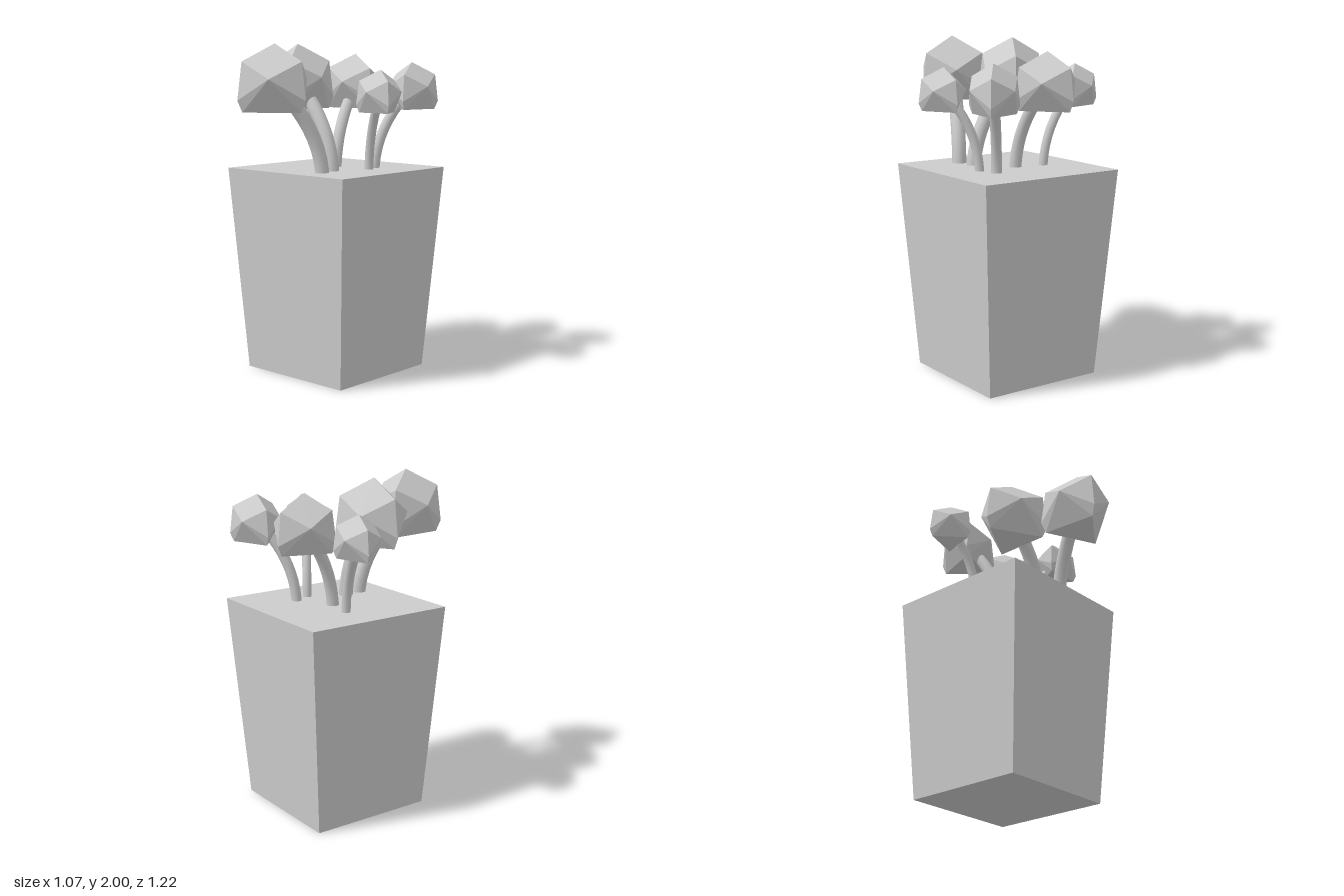
import * as THREE from 'three';
import { ConvexGeometry } from 'three/addons/geometries/ConvexGeometry.js';

const material = new THREE.MeshStandardMaterial({ color: 0xcccccc, flatShading: true });
const stemMaterial = new THREE.MeshStandardMaterial({ color: 0xcccccc, side: THREE.DoubleSide });

// Faceted flower head of unit radius: apex at the origin, hanging down -y.
// Each ring has three corners: [radius, height, angle].
const rings = [
  [0.88, -0.45, Math.PI / 3],
  [0.87, -0.88, 0],
  [1.0, -1.42, Math.PI / 3],
  [0.87, -1.72, Math.PI / 3],
];

function headGeometry() {
  const points = [new THREE.Vector3(0, 0, 0)];
  for (const [r, y, start] of rings) {
    for (let i = 0; i < 3; i++) {
      const a = start + (i * Math.PI * 2) / 3;
      points.push(new THREE.Vector3(r * Math.cos(a), y, r * Math.sin(a)));
    }
  }
  return new ConvexGeometry(points);
}

// Head apex x, y, z, head radius, stem foot x, z, stem radius
const flowers = [
  [0.035, 2.0, 0.405, 0.226, 0.16, 0.14, 0.043],
  [-0.15, 2.0, 0.025, 0.226, 0.135, 0.025, 0.043],
  [-0.075, 1.94, -0.42, 0.195, -0.025, -0.18, 0.036],
  [0.335, 1.89, -0.47, 0.165, 0.19, -0.295, 0.031],
  [0.41, 1.85, -0.085, 0.145, 0.235, -0.19, 0.027],
  [-0.4, 1.85, -0.265, 0.145, -0.205, -0.215, 0.027],
];

function makeFlower([x, y, z, r, footX, footZ, stemR], geometry) {
  const flower = new THREE.Group();
  flower.name = 'flower';

  // Head, one corner turned towards the stem's foot
  const head = new THREE.Mesh(geometry, material);
  head.name = 'flowerHead';
  head.position.set(x, y, z);
  head.scale.setScalar(r);
  head.rotation.y = -Math.atan2(footZ - z, footX - x);

  // Stem rising straight and then bending outwards into the head
  const curve = new THREE.QuadraticBezierCurve3(
    new THREE.Vector3(footX, 1.2, footZ),
    new THREE.Vector3(footX, 1.5, footZ),
    new THREE.Vector3(x, y - r, z)
  );
  const stem = new THREE.Mesh(new THREE.TubeGeometry(curve, 10, stemR, 12), stemMaterial);
  stem.name = 'stem';

  flower.add(head, stem);
  return flower;
}

export function createModel() {
  const model = new THREE.Group();
  model.name = 'flowerPot';

  // Square pot, wider at the top
  const pot = new THREE.Mesh(
    new THREE.CylinderGeometry(0.468 * Math.SQRT2, 0.383 * Math.SQRT2, 1.25, 4, 1, false, Math.PI / 4),
    material
  );
  pot.name = 'pot';
  pot.position.set(0.014, 0.625, -0.143);
  model.add(pot);

  const geometry = headGeometry();
  for (const f of flowers) model.add(makeFlower(f, geometry));
  return model;
}
